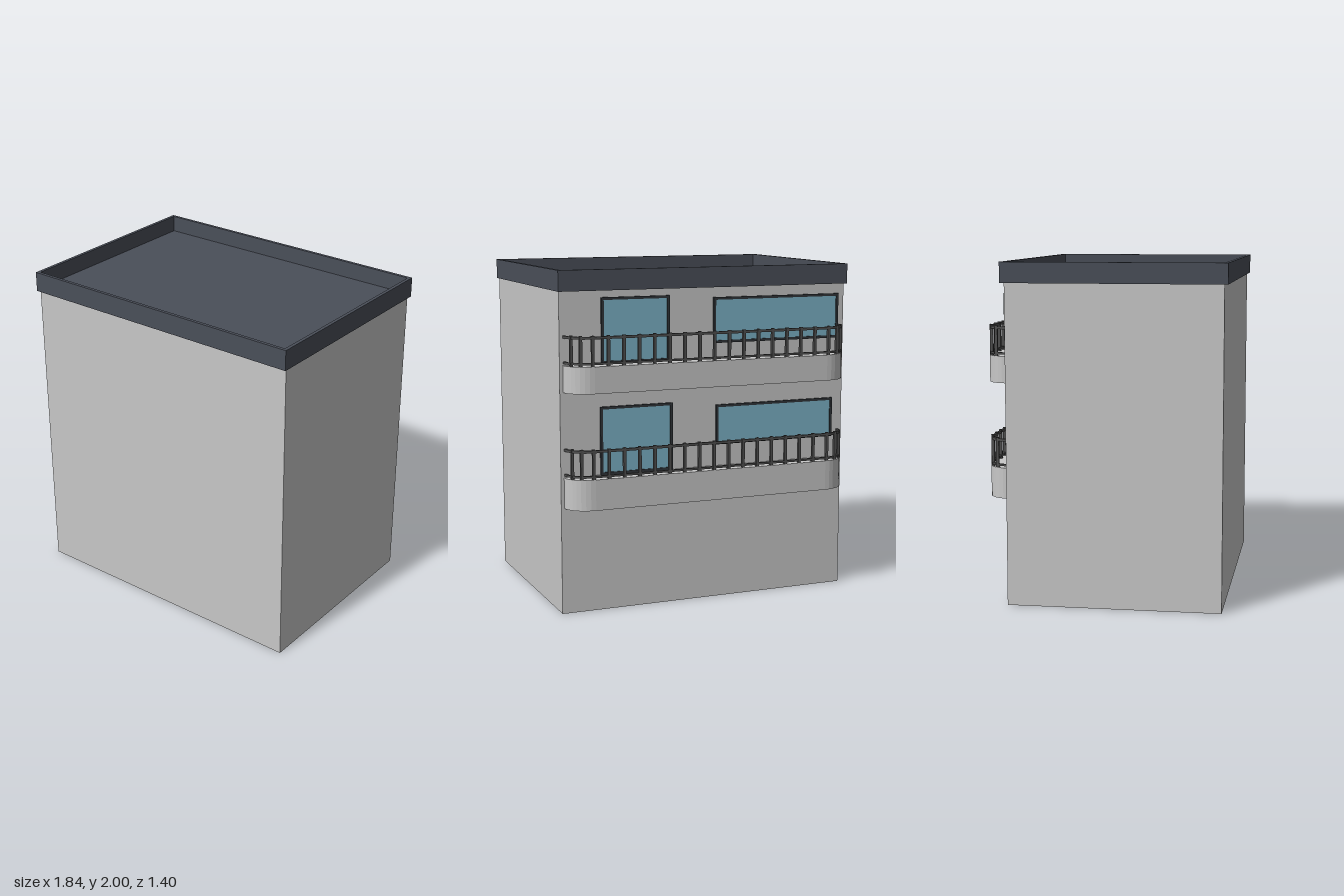
import * as THREE from 'three';

const mat = (name, color) => {
  const m = new THREE.MeshStandardMaterial({ color });
  m.name = name;
  return m;
};

export function createModel() {
  const plaster = mat('plaster', 0xc8c8c8);
  const slate = mat('roofSlate', 0x4a4f59);
  const glass = mat('windowGlass', 0x7db4c8);
  const frameDark = mat('frameDark', 0x303439);
  const railGrey = mat('railGrey', 0x505050);

  const model = new THREE.Group();
  model.name = 'apartmentBlock';

  const add = (parent, name, geometry, material, x = 0, y = 0, z = 0) => {
    const mesh = new THREE.Mesh(geometry, material);
    mesh.name = name;
    mesh.position.set(x, y, z);
    parent.add(mesh);
    return mesh;
  };
  const extrude = (shape, depth) =>
    new THREE.ExtrudeGeometry(shape, { depth, bevelEnabled: false });
  // Plan shapes are drawn with x across and y pointing to the back (-z)
  const extrudeUp = (shape, height) => extrude(shape, height).rotateX(-Math.PI / 2);
  const rectPoints = (w, h) => [[-w, -h], [w, -h], [w, h], [-w, h]]
    .map(([x, y]) => new THREE.Vector2(x / 2, y / 2));
  const ring = (w, h, t) => {
    const shape = new THREE.Shape(rectPoints(w, h));
    shape.holes.push(new THREE.Path(rectPoints(w - 2 * t, h - 2 * t).reverse()));
    return shape;
  };

  // Main block
  const backZ = -0.575;
  add(model, 'walls', new THREE.BoxGeometry(1.82, 1.88, 1.255), plaster, 0, 0.94, 0.0525);

  // Flat roof with raised parapet
  add(model, 'roofDeck', new THREE.BoxGeometry(1.8, 0.02, 1.27), slate, 0, 1.89, 0.05);
  add(model, 'parapet', extrudeUp(ring(1.84, 1.3, 0.02), 0.12), slate, 0, 1.88, 0.05);

  // Balcony outline: straight run with a quarter ellipse at each end
  const runX = 0.74, endX = 0.15, depth = 0.125;
  const corner = (a, inset) => new THREE.Vector2(
    runX + (endX - inset) * Math.cos(a), (depth - inset) * Math.sin(a));
  const outline = (inset) => {
    const right = [];
    for (let i = 0; i <= 8; i++) right.push(corner(i / 8 * Math.PI / 2, inset));
    const left = right.map((p) => new THREE.Vector2(-p.x, p.y)).reverse();
    return [...right, ...left];
  };

  const slabShape = new THREE.Shape(outline(0));
  const railShape = new THREE.Shape([...outline(0.002), ...outline(0.016).reverse()]);

  // Post positions: two on each curved end, the rest evenly along the run
  const posts = [];
  for (const angle of [0.55, 1.0]) {
    const p = corner(angle, 0.009);
    posts.push([p.x, p.y], [-p.x, p.y]);
  }
  for (let i = 0; i <= 16; i++) posts.push([-0.75 + i * 1.5 / 16, depth - 0.009]);

  const addBalcony = (name, bottom, top) => {
    const balcony = new THREE.Group();
    balcony.name = name;
    balcony.position.z = backZ;
    model.add(balcony);
    add(balcony, 'slab', extrudeUp(slabShape, top - bottom), plaster, 0, bottom);
    add(balcony, 'topRail', extrudeUp(railShape, 0.015), railGrey, 0, top + 0.155);
    add(balcony, 'bottomRail', extrudeUp(railShape, 0.012), railGrey, 0, top + 0.01);
    const postGeometry = new THREE.BoxGeometry(0.017, 0.175, 0.017);
    for (const [x, out] of posts) {
      add(balcony, 'railPost', postGeometry, railGrey, x, top + 0.0875, -out);
    }
  };
  addBalcony('lowerBalcony', 0.63, 0.81);
  addBalcony('upperBalcony', 1.305, 1.46);

  // Framed openings on the back wall
  const addOpening = (name, x0, x1, y0, y1) => {
    const opening = new THREE.Group();
    opening.name = name;
    opening.position.set((x0 + x1) / 2, (y0 + y1) / 2, backZ);
    model.add(opening);
    const w = x1 - x0, h = y1 - y0;
    add(opening, 'frame', extrude(ring(w, h, 0.015), 0.012), frameDark, 0, 0, -0.012);
    add(opening, 'pane', new THREE.BoxGeometry(w - 0.02, h - 0.02, 0.006), glass, 0, 0, -0.003);
  };
  addOpening('lowerDoor', 0.22, 0.67, 0.81, 1.21);
  addOpening('upperDoor', 0.24, 0.66, 1.46, 1.84);
  addOpening('lowerWindow', -0.84, -0.06, 0.94, 1.18);
  addOpening('upperWindow', -0.87, -0.04, 1.55, 1.82);

  return model;
}
